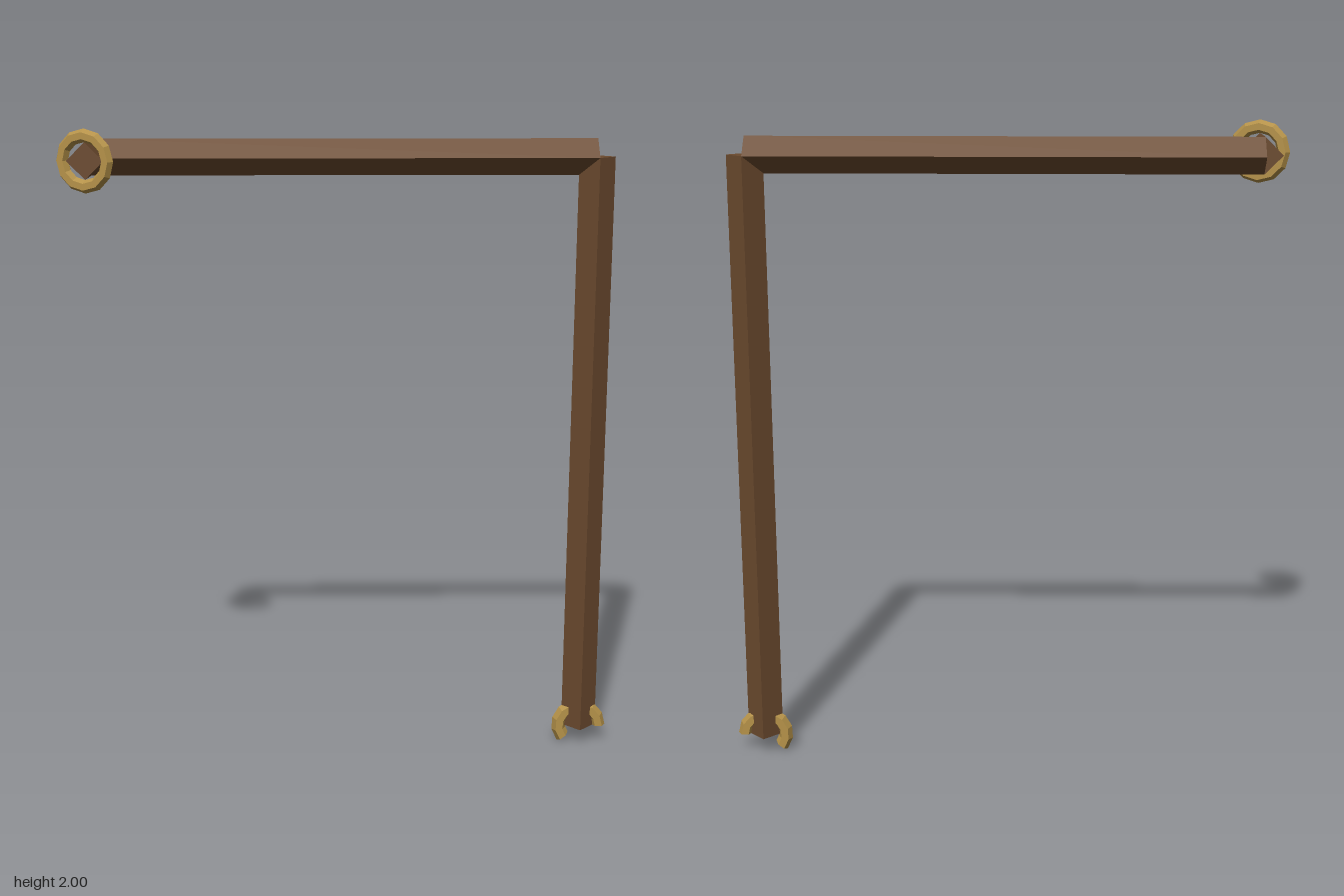
import * as THREE from 'three';

export function createModel() {
  const model = new THREE.Group();
  const wood = new THREE.MeshStandardMaterial({ color: 0x6b4a2e, flatShading: true });
  wood.name = 'brownWood';
  const brass = new THREE.MeshStandardMaterial({ color: 0xb59249, flatShading: true });
  brass.name = 'brass';

  const add = (parent, name, geometry, material) => {
    const mesh = new THREE.Mesh(geometry, material);
    mesh.name = name;
    parent.add(mesh);
    return mesh;
  };

  // Four-sided bar set on its edge, running between two points
  const bar = (name, from, to) => {
    const a = new THREE.Vector3(...from), b = new THREE.Vector3(...to);
    const dir = b.clone().sub(a);
    const mesh = add(model, name, new THREE.CylinderGeometry(0.055, 0.055, dir.length(), 4), wood);
    mesh.position.copy(a).add(b).multiplyScalar(0.5);
    mesh.quaternion.setFromUnitVectors(new THREE.Vector3(0, 1, 0), dir.normalize());
  };
  const elbow = [-0.77, 1.905, -0.065], corner = [0.765, 1.905, -0.065];
  bar('post', [0.765, 0.057, -0.065], corner);
  bar('crossBar', elbow, corner);
  bar('shortArm', elbow, [-0.77, 1.905, 0.08]);

  // Tilted ring around the end of the short arm
  const ring = add(model, 'endRing', new THREE.TorusGeometry(0.075, 0.02, 6, 12), brass);
  ring.position.set(-0.77, 1.905, 0.08);
  ring.rotation.y = -0.38;

  // Open hook through the foot of the post, with closed ends
  const R = 0.065, r = 0.023, arc = 3.82;
  const hook = new THREE.Group();
  hook.name = 'footHook';
  hook.position.set(0.765, 0.057, -0.065);
  add(hook, 'hookArc', new THREE.TorusGeometry(R, r, 6, 8, arc), brass);
  for (const [angle, facing] of [[0, 1], [arc, -1]]) {
    const pivot = new THREE.Group();
    pivot.name = 'hookEnd';
    pivot.rotation.z = angle;
    const cap = add(pivot, 'hookCap', new THREE.CircleGeometry(r, 6), brass);
    cap.position.x = R;
    cap.rotation.x = facing * Math.PI / 2;
    hook.add(pivot);
  }
  model.add(hook);
  return model;
}
